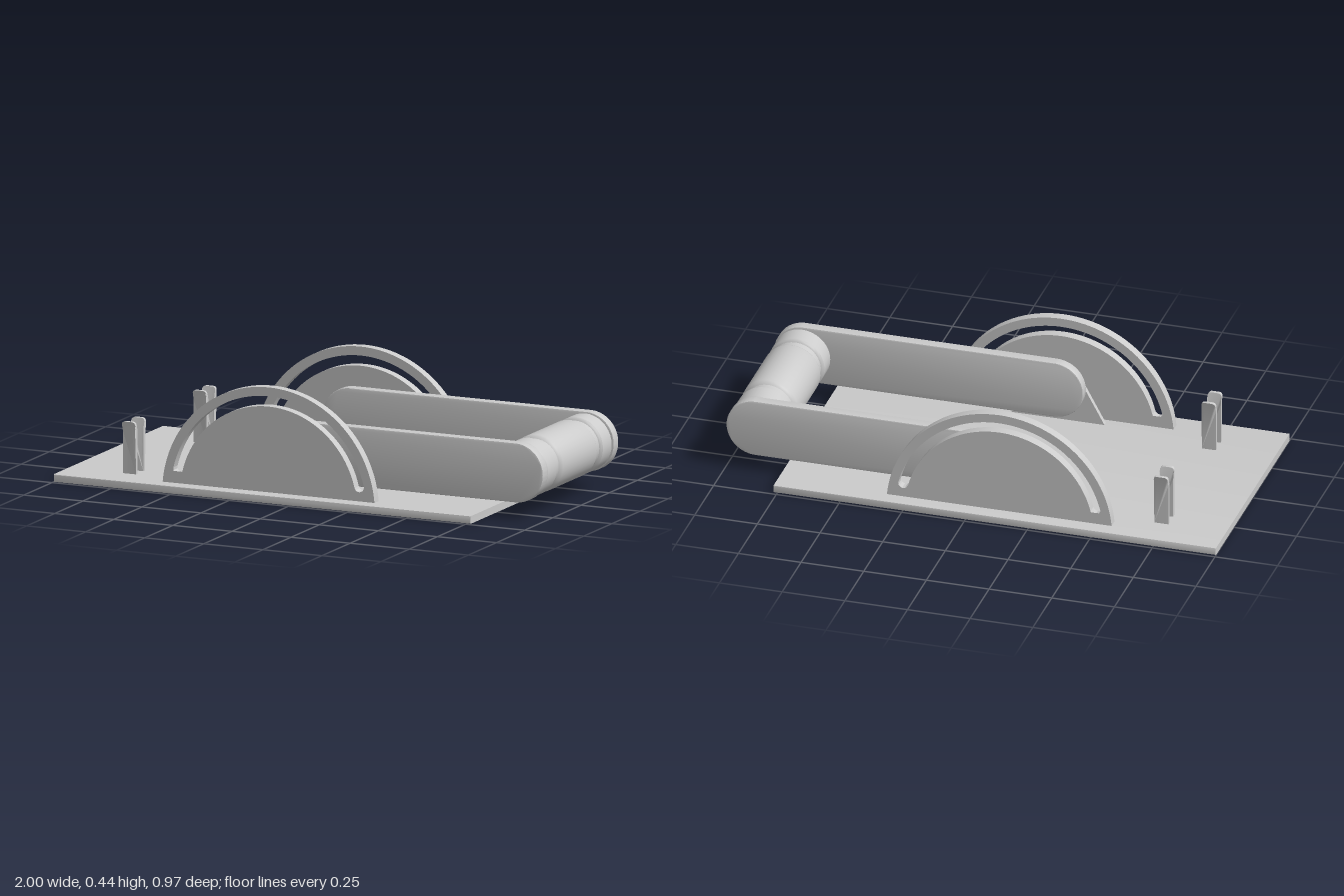
import * as THREE from 'three';
import { toCreasedNormals } from 'three/addons/utils/BufferGeometryUtils.js';

const material = new THREE.MeshStandardMaterial({ color: 0xcccccc });
const PIVOT_X = -0.118, GRIP_X = 0.883, ARM_Y = 0.181, ARM_R = 0.116, FLOOR = 0.03;

function mesh(name, geometry) {
  const m = new THREE.Mesh(toCreasedNormals(geometry, 0.5), material);
  m.name = name;
  return m;
}

// Extrudes a shape so that it fills z0..z1, with an optional small bevel
function plate(shape, z0, z1, bevel = 0) {
  const g = new THREE.ExtrudeGeometry(shape, {
    depth: z1 - z0 - 2 * bevel, curveSegments: 28, bevelEnabled: bevel > 0,
    bevelSize: bevel, bevelOffset: -bevel, bevelThickness: bevel, bevelSegments: 2,
  });
  return g.translate(0, 0, z0 + bevel);
}

// Half disc cut off at the base, with a curved slot
function guideShape() {
  const cy = -0.01, R = 0.45, mid = 0.395, half = 0.02;
  const a = Math.asin((FLOOR - cy) / R), b = 0.245;
  const s = new THREE.Shape();
  s.absarc(PIVOT_X, cy, R, a, Math.PI - a, false);
  s.closePath();
  const slot = new THREE.Path();
  const end = (t) => [PIVOT_X + mid * Math.cos(t), cy + mid * Math.sin(t)];
  slot.absarc(PIVOT_X, cy, mid + half, b, Math.PI - b, false);
  slot.absarc(...end(Math.PI - b), half, Math.PI - b, 2 * Math.PI - b, false);
  slot.absarc(PIVOT_X, cy, mid - half, Math.PI - b, b, true);
  slot.absarc(...end(b), half, b - Math.PI, b, false);
  s.holes.push(slot);
  return s;
}

// Straight bar with two round ends
function armShape() {
  const s = new THREE.Shape();
  s.absarc(GRIP_X, ARM_Y, ARM_R, -Math.PI / 2, Math.PI / 2, false);
  s.absarc(PIVOT_X, ARM_Y, ARM_R, Math.PI / 2, Math.PI * 1.5, false);
  s.closePath();
  return s;
}

// Wide foot tapering to a round top about the pivot
function bracketShape() {
  const s = new THREE.Shape();
  s.moveTo(PIVOT_X - 0.185, FLOOR);
  s.lineTo(PIVOT_X + 0.185, FLOOR);
  s.absarc(PIVOT_X, ARM_Y, 0.09, Math.PI * 0.16, Math.PI * 0.84, false);
  s.closePath();
  return s;
}

// Spring finger: upright strip whose tip flares away from the arm
function clipFinger(dir) {
  const w = 0.056, t = 0.014;
  const s = new THREE.Shape();
  s.moveTo(-w / 2, FLOOR);
  s.lineTo(w / 2, FLOOR);
  s.lineTo(w / 2, 0.195);
  s.lineTo(w / 2, 0.22);
  s.quadraticCurveTo(w / 2, 0.235, w / 2 - 0.015, 0.235);
  s.lineTo(-w / 2 + 0.015, 0.235);
  s.quadraticCurveTo(-w / 2, 0.235, -w / 2, 0.22);
  s.lineTo(-w / 2, 0.195);
  const g = new THREE.ExtrudeGeometry(s, { depth: t, bevelEnabled: false, curveSegments: 5 });
  g.translate(-0.742, 0, dir > 0 ? 0.339 : 0.289 - t);
  const p = g.attributes.position;
  for (let i = 0; i < p.count; i++) {
    const lift = Math.max(0, p.getY(i) - 0.195);
    p.setZ(i, p.getZ(i) + dir * lift * 0.32);
  }
  g.computeVertexNormals();
  return g;
}

// Turned part along z at a given x
function turned(name, profile, x) {
  const g = new THREE.LatheGeometry(profile.map(([r, z]) => new THREE.Vector2(r, z)), 36);
  g.rotateX(Math.PI / 2).translate(x, ARM_Y, 0);
  return mesh(name, g);
}

export function createModel() {
  const model = new THREE.Group();
  model.name = 'foldingHandle';

  // Base plate with softened edges
  const base = new THREE.Shape();
  base.moveTo(-1, 0);
  base.lineTo(0.765, 0);
  base.lineTo(0.765, FLOOR);
  base.lineTo(-1, FLOOR);
  model.add(mesh('basePlate', plate(base, -0.487, 0.487, 0.003)));

  // Matching parts on both sides
  for (const side of [1, -1]) {
    const group = new THREE.Group();
    group.name = side > 0 ? 'frontSide' : 'backSide';
    const add = (name, geometry) => {
      if (side < 0) {
        // Mirror in z and turn the triangles round
        const g = geometry.index ? geometry.toNonIndexed() : geometry;
        g.scale(1, 1, -1);
        for (const key of ['position', 'normal', 'uv']) {
          const at = g.attributes[key], n = at.itemSize;
          for (let i = 0; i < at.count; i += 3) {
            for (let k = 0; k < n; k++) {
              const u = (i + 1) * n + k, v = (i + 2) * n + k;
              [at.array[u], at.array[v]] = [at.array[v], at.array[u]];
            }
          }
        }
        geometry = g;
      }
      group.add(mesh(name, geometry));
    };
    add('slottedGuide', plate(guideShape(), 0.39, 0.428));
    add('arm', plate(armShape(), 0.293, 0.336, 0.004));
    add('pivotBracket', plate(bracketShape(), 0.348, 0.367));
    add('pivotPin', new THREE.CylinderGeometry(0.03, 0.03, 0.05, 24)
      .rotateX(Math.PI / 2).translate(PIVOT_X, ARM_Y, 0.335));
    add('outerClip', clipFinger(1));
    add('innerClip', clipFinger(-1));
    model.add(group);
  }

  // Hand grip: thick middle, two grooves, end collars
  const half = [
    [0.113, 0.148], [0.109, 0.157], [0.101, 0.164], [0.101, 0.196],
    [0.108, 0.2], [0.112, 0.206], [0.112, 0.283], [0.109, 0.287], [0.06, 0.287], [0.06, 0.3],
  ];
  const mirrored = half.map(([r, z]) => [r, -z]).reverse();
  model.add(turned('grip', [...mirrored, ...half], GRIP_X));

  return model;
}
